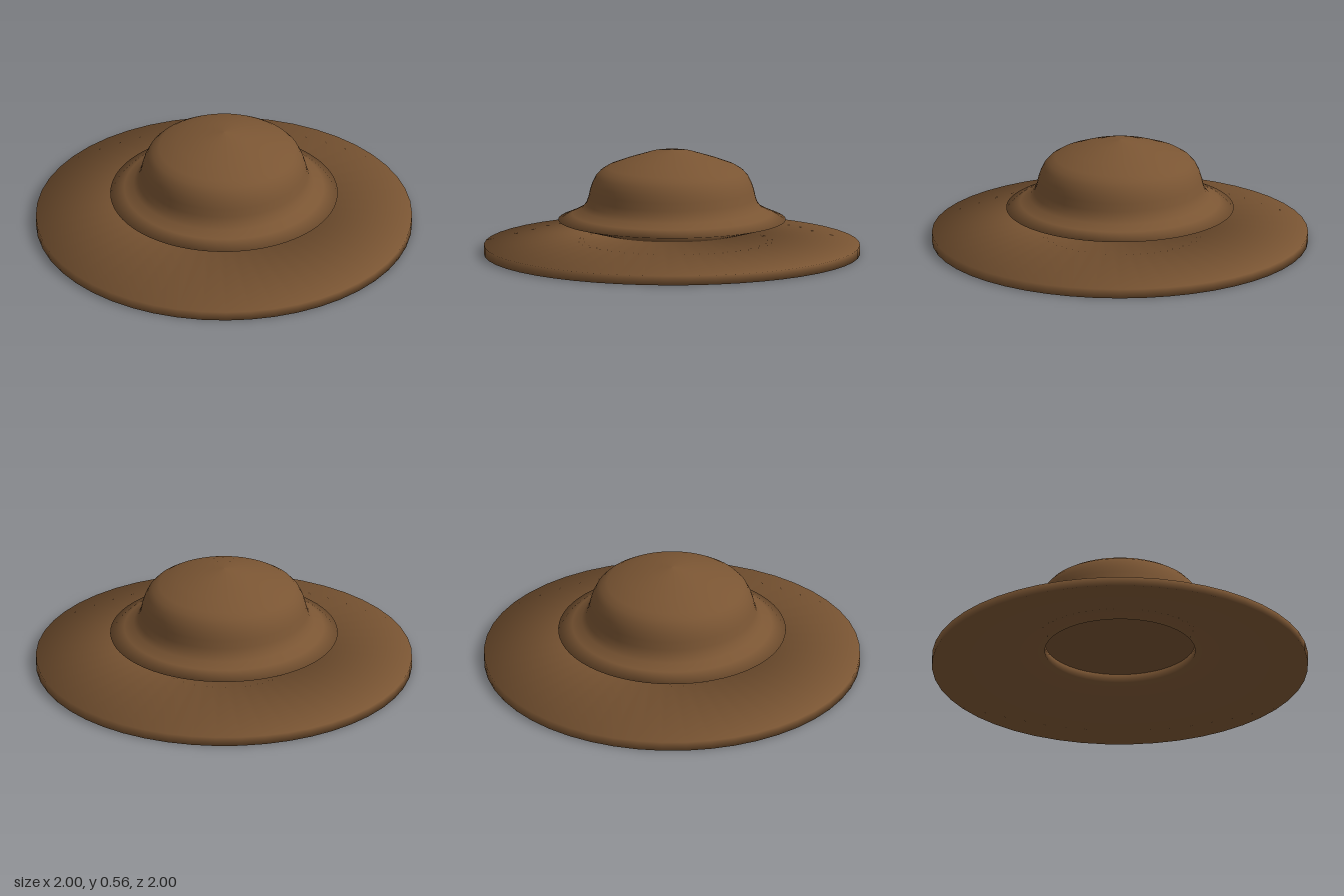
import * as THREE from 'three';

// Lathe whose corner normals weigh both neighbouring edges equally
function softLathe(profile, segments, closed = false) {
  const points = profile.map(([r, y]) => new THREE.Vector2(r, y));
  if (closed) points.push(points[0].clone());
  const geometry = new THREE.LatheGeometry(points, segments);
  const count = points.length;
  const edges = points.slice(1).map((p, i) =>
    new THREE.Vector2(p.y - points[i].y, points[i].x - p.x).normalize());
  const normals = points.map((p, i) => {
    const before = edges[i - 1] ?? (closed ? edges[count - 2] : edges[0]);
    const after = edges[i] ?? (closed ? edges[0] : edges[count - 2]);
    return before.clone().add(after).normalize();
  });
  const normal = geometry.attributes.normal;
  for (let i = 0; i < normal.count; i++) {
    const n = normals[i % count];
    const angle = Math.floor(i / count) / segments * Math.PI * 2;
    normal.setXYZ(i, n.x * Math.sin(angle), n.y, n.x * Math.cos(angle));
  }
  return geometry;
}

export function createModel() {
  const felt = new THREE.MeshStandardMaterial({ color: 0x7a5533 });
  felt.name = 'brownFelt';
  const model = new THREE.Group();
  model.name = 'hat';

  const add = (name, geometry) => {
    const mesh = new THREE.Mesh(geometry, felt);
    mesh.name = name;
    model.add(mesh);
    return mesh;
  };

  // Sloping brim of even thickness with a round opening
  add('brim', softLathe([[0.4, 0.083], [1, 0], [1, 0.05], [0.4, 0.133]], 48, true));

  // Domed crown with a flared skirt that tapers back onto the brim
  add('crown', softLathe([
    [0.4, 0.13], [0.605, 0.186], [0.53, 0.218], [0.48, 0.245], [0.457, 0.272],
    [0.445, 0.305], [0.436, 0.345], [0.424, 0.382], [0.405, 0.42], [0.38, 0.447],
    [0.345, 0.469], [0.25, 0.505], [0.12, 0.547], [0, 0.564],
  ], 64));

  // Flat floor closing the crown underneath
  const floor = add('crownFloor', new THREE.CircleGeometry(0.4, 64));
  floor.rotation.x = Math.PI / 2;
  floor.position.y = 0.13;

  return model;
}
